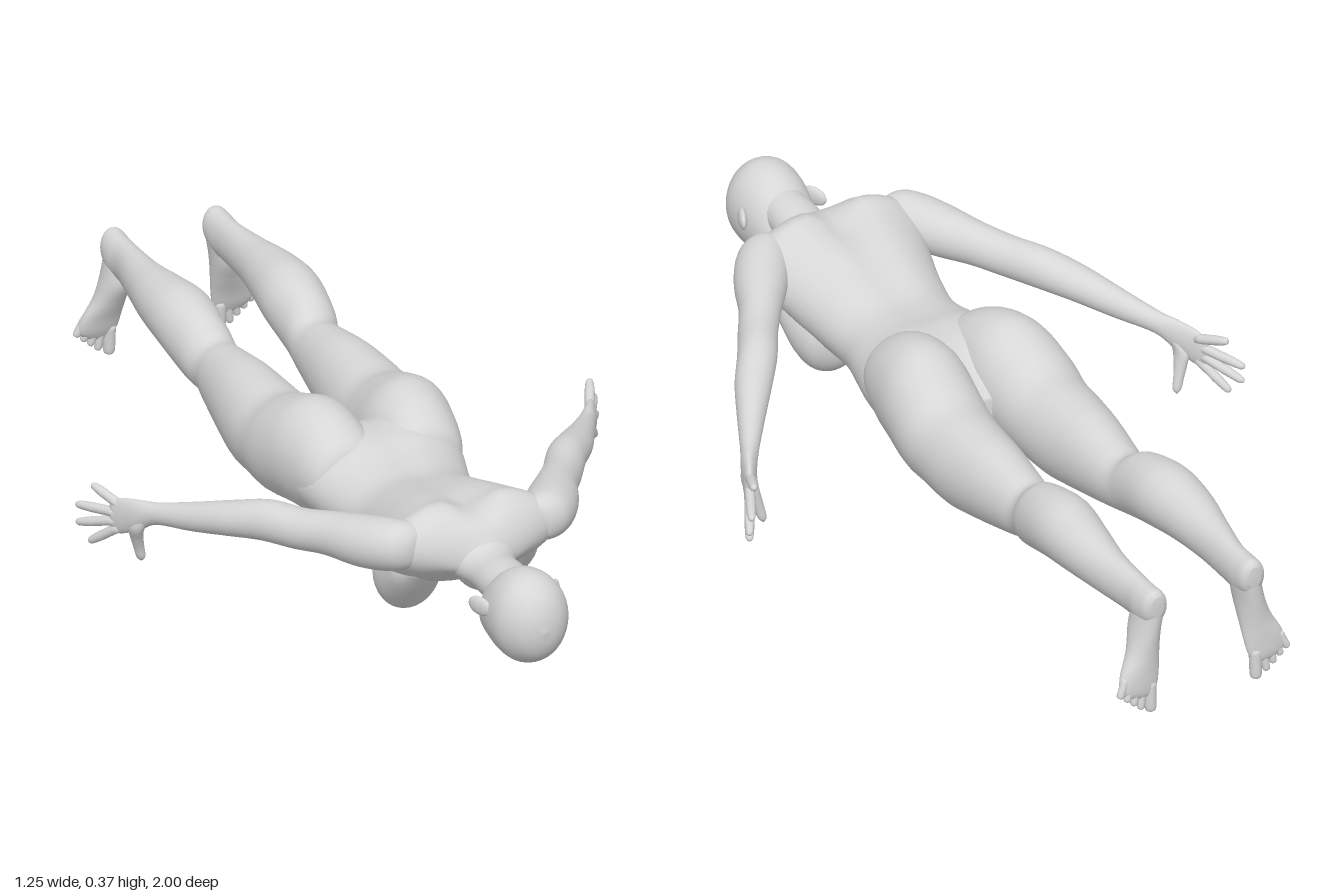
import * as THREE from 'three';

const V = (x, y, z) => new THREE.Vector3(x, y, z);
const X = V(1, 0, 0), Y = V(0, 1, 0), Z = V(0, 0, 1);

// Smooth skin through elliptical sections [x, y, z, ru, rv, groove]; u and v span each section.
// side = -1 mirrors the shape across x; groove dents the +v side at the centre line.
function loft(sections, u, v, side = 1, seg = 36, sub = 6) {
  const centres = new THREE.CatmullRomCurve3(sections.map(s => V(s[0] * side, s[1], s[2])), false, 'catmullrom');
  const radii = new THREE.CatmullRomCurve3(sections.map(s => V(s[3], s[4], s[5] || 0)), false, 'catmullrom');
  u = V(u.x * side, u.y, u.z);
  v = V(v.x * side, v.y, v.z);
  const first = centres.getPoint(0), last = centres.getPoint(1);
  const forward = u.clone().cross(v).dot(last.clone().sub(first)) > 0;
  const rows = (sections.length - 1) * sub, pos = [], index = [];
  for (let i = 0; i <= rows; i++) {
    const c = centres.getPoint(i / rows), r = radii.getPoint(i / rows);
    for (let j = 0; j < seg; j++) {
      const a = j / seg * Math.PI * 2, cu = Math.cos(a) * Math.max(r.x, 0.001);
      let cv = Math.sin(a) * Math.max(r.y, 0.001);
      if (cv > 0) cv -= r.z * Math.exp(-((cu / 0.045) ** 2));
      pos.push(...c.clone().addScaledVector(u, cu).addScaledVector(v, cv).toArray());
    }
  }
  const tri = (a, b, c) => forward ? index.push(a, b, c) : index.push(a, c, b);
  for (let i = 0; i < rows; i++) for (let j = 0; j < seg; j++) {
    const a = i * seg + j, b = i * seg + (j + 1) % seg;
    tri(a, b, b + seg);
    tri(a, b + seg, a + seg);
  }
  // end caps
  const n = pos.length / 3;
  pos.push(...first.toArray(), ...last.toArray());
  for (let j = 0; j < seg; j++) {
    const k = (j + 1) % seg;
    tri(n, k, j);
    tri(n + 1, rows * seg + j, rows * seg + k);
  }
  const g = new THREE.BufferGeometry();
  g.setAttribute('position', new THREE.Float32BufferAttribute(pos, 3));
  g.setIndex(index);
  g.computeVertexNormals();
  return g;
}

// Tapered finger or toe with a rounded tip
function digit(a, b, r0, r1, side) {
  const p = V(...a), q = V(...b), d = q.clone().sub(p).normalize();
  const u = d.clone().cross(Math.abs(d.y) > 0.8 ? Z : Y).normalize(), v = u.clone().cross(d);
  const at = (t, r) => [...p.clone().lerp(q, t).toArray(), r, r];
  return loft([at(0, r0), at(0.45, r0 * 0.95), at(0.6, r0 * 0.95), at(0.88, r1), at(0.97, r1 * 0.65), at(1, 0.001)],
    u, v, side, 12, 3);
}

export function createModel() {
  const skin = new THREE.MeshStandardMaterial({ color: 0xd6d6d6 });
  skin.name = 'greySkin';
  const model = new THREE.Group();
  model.name = 'figure';
  const add = (name, geometry, parent = model) => {
    const m = new THREE.Mesh(geometry, skin);
    m.name = name;
    parent.add(m);
    return m;
  };

  // Head, face down, with a flat face and narrow chin
  add('head', loft([
    [0, 0.155, 0.748, 0.012, 0.012], [0, 0.16, 0.755, 0.034, 0.034], [0, 0.172, 0.77, 0.05, 0.053],
    [0, 0.195, 0.80, 0.066, 0.079], [0, 0.214, 0.85, 0.08, 0.1], [0, 0.221, 0.90, 0.087, 0.107],
    [0, 0.222, 0.94, 0.083, 0.1], [0, 0.221, 0.975, 0.06, 0.074], [0, 0.22, 0.993, 0.033, 0.04],
    [0, 0.22, 1, 0.001, 0.001]], X, Y));
  add('neck', loft([
    [0, 0.25, 0.87, 0.05, 0.05], [0, 0.247, 0.79, 0.056, 0.05], [0, 0.246, 0.72, 0.058, 0.047],
    [0, 0.262, 0.67, 0.085, 0.062], [0, 0.265, 0.62, 0.1, 0.065]], X, Y));

  // Torso from shoulders to hips, with raised shoulder blades and a spine groove
  add('torso', loft([
    [0, 0.262, 0.705, 0.05, 0.035], [0, 0.278, 0.682, 0.12, 0.055, 0.005], [0, 0.285, 0.652, 0.18, 0.08, 0.025],
    [0, 0.28, 0.615, 0.2, 0.103, 0.042], [0, 0.263, 0.57, 0.198, 0.109, 0.035],
    [0, 0.24, 0.50, 0.178, 0.115, 0.022], [0, 0.22, 0.42, 0.158, 0.111, 0.016],
    [0, 0.205, 0.33, 0.146, 0.1, 0.012], [0, 0.205, 0.25, 0.164, 0.102, 0.01], [0, 0.212, 0.17, 0.186, 0.112, 0.012],
    [0, 0.215, 0.08, 0.2, 0.11, 0.02], [0, 0.2, 0.0, 0.19, 0.095, 0.03], [0, 0.18, -0.05, 0.1, 0.06]], X, Y));

  for (const side of [1, -1]) {
    const half = new THREE.Group();
    half.name = side > 0 ? 'leftSide' : 'rightSide';
    model.add(half);

    const ear = add('ear', new THREE.SphereGeometry(1, 24, 16), half);
    ear.position.set(side * 0.09, 0.24, 0.858);
    ear.scale.set(0.01, 0.022, 0.033);
    ear.rotation.y = -side * 0.4;

    // Breast sloping out of the chest
    add('breast', loft([
      [0.125, 0.225, 0.625, 0.02, 0.015], [0.117, 0.205, 0.585, 0.055, 0.052], [0.103, 0.168, 0.53, 0.07, 0.079],
      [0.095, 0.15, 0.485, 0.074, 0.084], [0.093, 0.15, 0.45, 0.067, 0.075], [0.093, 0.158, 0.425, 0.045, 0.052],
      [0.093, 0.163, 0.415, 0.012, 0.012]], X, Y, side), half);

    // Arm swept down and out, ending in a flat upright palm
    const across = V(0.88, 0, 0.47);
    add('arm', loft([
      [0.135, 0.295, 0.655, 0.015, 0.015], [0.145, 0.295, 0.648, 0.04, 0.04], [0.165, 0.295, 0.63, 0.056, 0.055],
      [0.193, 0.29, 0.595, 0.06, 0.06], [0.228, 0.282, 0.54, 0.058, 0.058], [0.27, 0.275, 0.47, 0.047, 0.05],
      [0.313, 0.265, 0.405, 0.044, 0.047], [0.358, 0.26, 0.33, 0.044, 0.047], [0.408, 0.243, 0.26, 0.041, 0.041],
      [0.46, 0.22, 0.18, 0.031, 0.034], [0.51, 0.2, 0.10, 0.021, 0.026], [0.535, 0.183, 0.06, 0.018, 0.036],
      [0.558, 0.167, 0.018, 0.014, 0.043], [0.57, 0.16, -0.004, 0.01, 0.038],
      [0.574, 0.158, -0.012, 0.004, 0.03]], across, Y, side), half);
    const fingers = [
      [[0.562, 0.137, 0.01], [0.603, 0.078, -0.06]], [[0.566, 0.151, 0.004], [0.62, 0.115, -0.09]],
      [[0.566, 0.17, 0.004], [0.618, 0.156, -0.096]], [[0.56, 0.189, 0.012], [0.594, 0.213, -0.065]]];
    for (const [a, b] of fingers) add('finger', digit(a, b, 0.0115, 0.009, side), half);
    add('thumb', loft([
      [0.53, 0.18, 0.068, 0.014, 0.02], [0.54, 0.15, 0.048, 0.016, 0.026], [0.534, 0.12, 0.038, 0.014, 0.018],
      [0.526, 0.09, 0.032, 0.012, 0.012], [0.52, 0.065, 0.029, 0.01, 0.01],
      [0.518, 0.054, 0.027, 0.002, 0.002]], X, Z, side, 16, 4), half);

    // Buttock, thigh, knee, calf and heel
    add('leg', loft([
      [0.092, 0.235, 0.205, 0.03, 0.03], [0.095, 0.237, 0.19, 0.072, 0.07], [0.098, 0.238, 0.16, 0.09, 0.095],
      [0.104, 0.238, 0.10, 0.1, 0.122],
      [0.11, 0.237, 0.03, 0.107, 0.13], [0.118, 0.217, -0.05, 0.107, 0.122], [0.12, 0.203, -0.12, 0.1, 0.108],
      [0.122, 0.2, -0.2, 0.093, 0.109], [0.121, 0.208, -0.3, 0.08, 0.098], [0.119, 0.212, -0.4, 0.065, 0.078],
      [0.118, 0.216, -0.45, 0.058, 0.069], [0.125, 0.237, -0.5, 0.064, 0.08], [0.128, 0.262, -0.6, 0.072, 0.077],
      [0.132, 0.265, -0.7, 0.062, 0.065], [0.13, 0.26, -0.8, 0.045, 0.055], [0.123, 0.257, -0.9, 0.033, 0.05],
      [0.123, 0.256, -0.95, 0.034, 0.05], [0.122, 0.265, -0.985, 0.03, 0.042],
      [0.122, 0.27, -0.998, 0.015, 0.025]], X, Y, side), half);

    // Foot pointing down, sole facing back
    add('foot', loft([
      [0.122, 0.305, -0.972, 0.01, 0.012], [0.122, 0.29, -0.968, 0.024, 0.027], [0.122, 0.25, -0.955, 0.031, 0.043],
      [0.13, 0.2, -0.953, 0.033, 0.044], [0.14, 0.15, -0.963, 0.038, 0.032], [0.154, 0.105, -0.974, 0.047, 0.022],
      [0.16, 0.072, -0.98, 0.047, 0.016], [0.158, 0.055, -0.983, 0.037, 0.011],
      [0.154, 0.045, -0.984, 0.022, 0.006]], X, Z, side), half);
    add('bigToe', digit([0.132, 0.075, -0.98], [0.132, 0.001, -0.984], 0.0145, 0.013, side), half);
    for (let i = 0; i < 4; i++) {
      add('toe', digit([0.15 + i * 0.014, 0.075 + i * 0.008, -0.98], [0.158 + i * 0.0175, 0.014 + i * 0.0145, -0.986],
        0.0095, 0.0085, side), half);
    }
  }
  return model;
}
